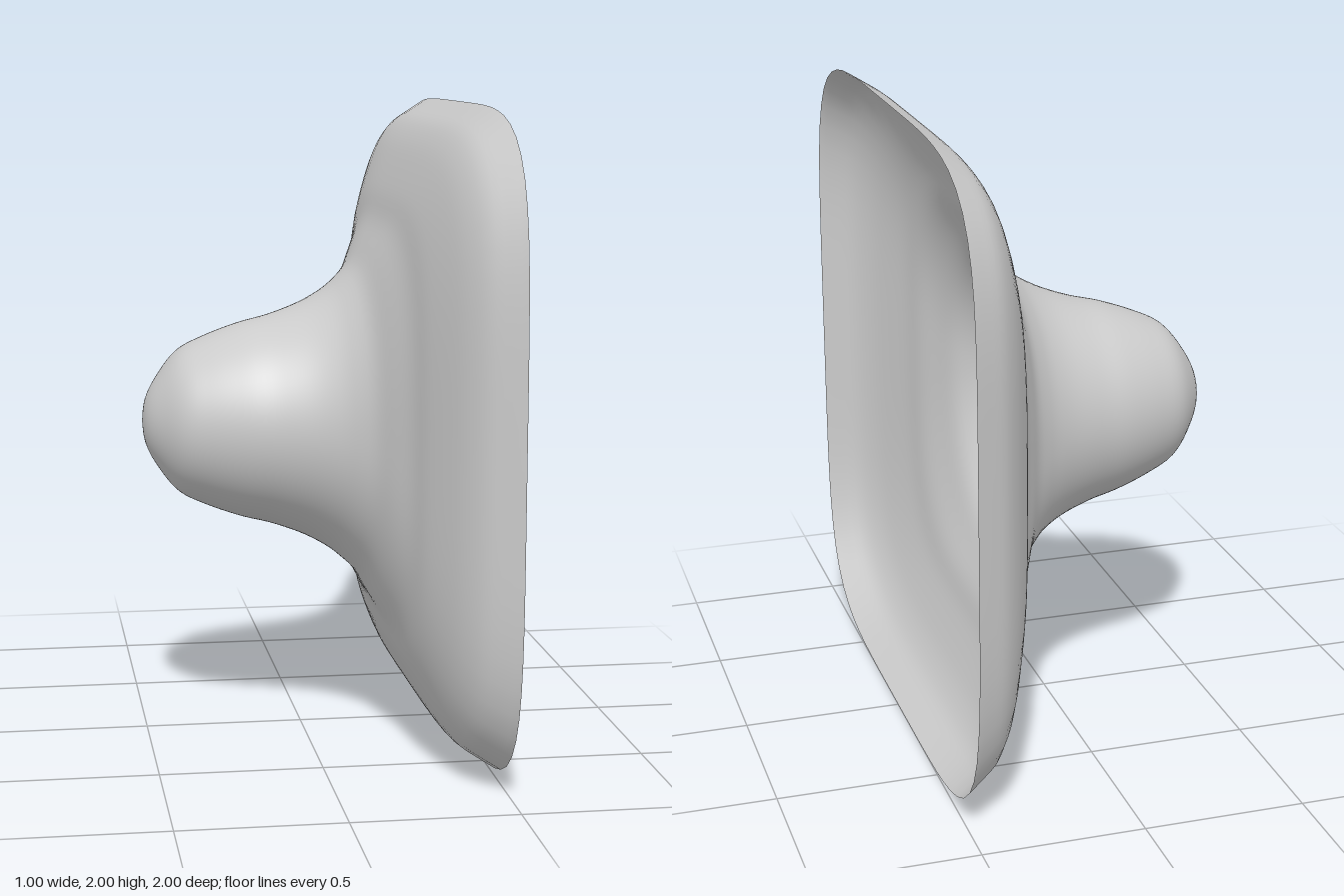
import * as THREE from 'three';
import { mergeVertices } from 'three/addons/utils/BufferGeometryUtils.js';

// Profile from the closed tip to the open rim: [radius, position along x]
const PROFILE = [
  [0, -0.505], [0.07, -0.495], [0.14, -0.46], [0.222, -0.395], [0.267, -0.31],
  [0.307, -0.2], [0.333, -0.1], [0.37, 0], [0.41, 0.075], [0.444, 0.12],
  [0.487, 0.165], [0.555, 0.205], [0.63, 0.245], [0.72, 0.275], [0.83, 0.325],
  [0.89, 0.36], [0.937, 0.4], [0.97, 0.45], [1, 0.5],
];

// Radius factor of a superellipse with the given exponent
function squareness(angle, n) {
  const c = Math.abs(Math.cos(angle)), s = Math.abs(Math.sin(angle));
  return Math.pow(c ** n + s ** n, -1 / n);
}

export function createModel() {
  const group = new THREE.Group();
  const curve = new THREE.SplineCurve(PROFILE.map(([r, x]) => new THREE.Vector2(r, x)));
  const points = curve.getSpacedPoints(64);
  points[0].x = 0;
  let geometry = new THREE.LatheGeometry(points, 96);

  // Round at the spout, easing into a rounded square at the rim
  const pos = geometry.attributes.position;
  for (let i = 0; i < pos.count; i++) {
    const x = pos.getX(i), z = pos.getZ(i);
    const n = 2 + 3 * THREE.MathUtils.smoothstep(Math.hypot(x, z), 0.35, 0.95);
    const k = squareness(Math.atan2(z, x), n);
    pos.setXYZ(i, x * k, pos.getY(i), z * k);
  }

  // Weld the seam, then turn the axis so the open rim faces +x
  geometry.deleteAttribute('uv');
  geometry.deleteAttribute('normal');
  geometry = mergeVertices(geometry, 1e-5);
  geometry.rotateZ(-Math.PI / 2);
  geometry.translate(0, 1, 0);
  geometry.computeVertexNormals();

  const shell = new THREE.Mesh(
    geometry,
    new THREE.MeshStandardMaterial({ color: 0xcccccc, side: THREE.DoubleSide })
  );
  shell.name = 'funnelShell';
  group.add(shell);
  return group;
}
